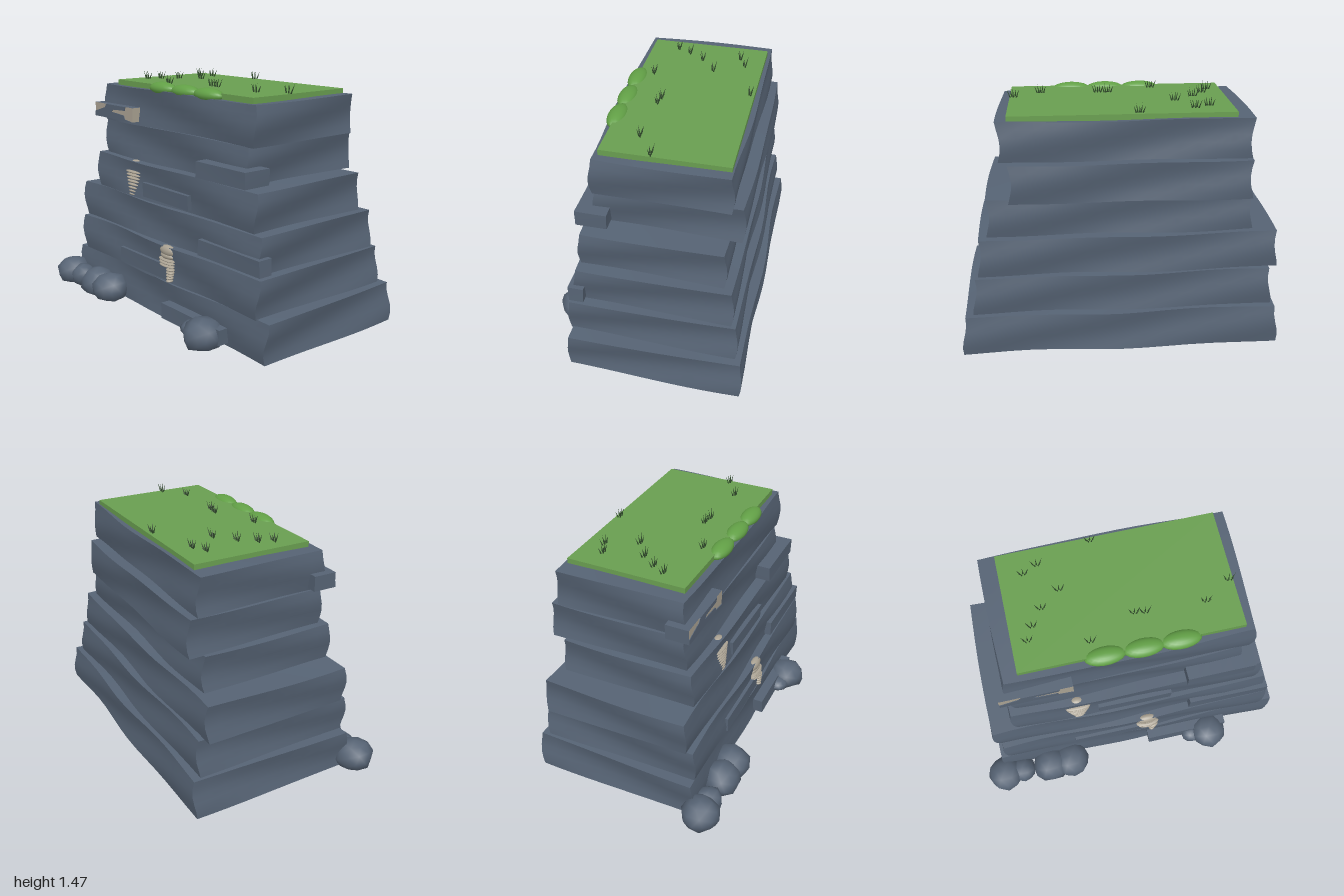
import * as THREE from 'three';
import { mergeGeometries, mergeVertices } from 'three/addons/utils/BufferGeometryUtils.js';

const material = (name, color, side = THREE.FrontSide) => {
  const m = new THREE.MeshStandardMaterial({ color, side });
  m.name = name;
  return m;
};

export function createModel() {
  const rock = material('slate rock', 0x566374);
  const turf = material('turf green', 0x699e50);
  const moss = material('moss green', 0x62a046);
  const blade = material('dark grass', 0x34502f);
  const bone = material('fossil bone', 0xa9a192);
  const root = new THREE.Group();
  root.name = 'layeredCliff';

  const add = (name, geometry, mat, parent = root) => {
    const mesh = new THREE.Mesh(geometry, mat);
    mesh.name = name;
    parent.add(mesh);
    return mesh;
  };

  // Box given by its limits, gently warped so each face stays smooth
  const slab = ([x0, x1], [y0, y1], [z0, z1], wave, seed, segs = [14, 5, 10]) => {
    const g = new THREE.BoxGeometry(x1 - x0, y1 - y0, z1 - z0, ...segs);
    g.translate((x0 + x1) / 2, (y0 + y1) / 2, (z0 + z1) / 2);
    const p = g.attributes.position;
    for (let i = 0; i < p.count; i++) {
      const x = p.getX(i), y = p.getY(i), z = p.getZ(i);
      const sx = (x - (x0 + x1) / 2) / (x1 - x0) * 2;
      const sz = (z - (z0 + z1) / 2) / (z1 - z0) * 2;
      p.setXYZ(i,
        x + sx * wave * (Math.sin(y * 19 + z * 3 + seed * 2.3) - 0.7),
        y + wave * 0.25 * Math.sin(x * 6 + z * 5 + seed),
        z + sz * wave * (Math.sin(y * 21 + x * 4 + seed * 1.7) * 0.7 + Math.sin(x * 7 + seed) * 0.3 - 0.6));
    }
    g.computeVertexNormals();
    return g;
  };

  // Stacked strata: x range, y range, z range
  const strata = [
    [[-0.88, 0.995], [0.02, 0.26], [-0.625, 0.422]],
    [[-0.84, 0.925], [0.258, 0.486], [-0.58, 0.422]],
    [[-0.875, 0.89], [0.484, 0.711], [-0.545, 0.385]],
    [[-0.73, 0.835], [0.709, 0.936], [-0.49, 0.365]],
    [[-0.705, 0.695], [0.934, 1.161], [-0.56, 0.305]],
    [[-0.71, 0.75], [1.159, 1.393], [-0.5, 0.303]],
  ];
  strata.forEach((s, i) => add('stratum' + (i + 1), slab(...s, 0.014, i + 1), rock));

  // Narrow ledges standing out of the front
  const ledges = [
    [[0.355, 0.77], [0.95, 1.045], [0.2, 0.39]],
    [[-0.195, 0.27], [0.73, 0.82], [0.25, 0.376]],
    [[0.395, 0.92], [0.5, 0.595], [0.32, 0.412]],
    [[-0.37, 0.12], [0.275, 0.37], [0.3, 0.432]],
    [[0.125, 0.67], [0.045, 0.14], [0.3, 0.478]],
  ];
  ledges.forEach((l, i) => add('ledge' + (i + 1), slab(...l, 0.003, i, [6, 2, 2]), rock));

  // Upper ledge with bone-coloured patches showing past a rock face plate
  const patchy = new THREE.Group();
  patchy.name = 'patchyLedge';
  root.add(patchy);
  const core = new THREE.BoxGeometry(0.43, 0.09, 0.14);
  core.translate(-0.54, 1.225, 0.276);
  add('patchyLedgeCore', core, [bone, rock, rock, rock, bone, rock], patchy);
  const face = new THREE.Shape([
    [-0.755, 1.18], [-0.325, 1.18], [-0.41, 1.19], [-0.42, 1.214], [-0.56, 1.224], [-0.54, 1.24],
    [-0.41, 1.245], [-0.4, 1.27], [-0.62, 1.27], [-0.64, 1.245], [-0.755, 1.212],
  ].map(([x, y]) => new THREE.Vector2(x, y)));
  const plate = new THREE.ExtrudeGeometry(face, { depth: 0.004, bevelEnabled: false });
  plate.translate(0, 0, 0.346);
  add('patchyLedgeFace', plate, rock, patchy);

  const ellipsoid = (x, y, z, rx, ry, rz) => {
    const g = new THREE.SphereGeometry(1, 18, 12);
    g.scale(rx, ry, rz);
    g.translate(x, y, z);
    return g;
  };

  // Upper fossil: stacked ribs narrowing downward, its skull almost buried
  const ribs = [];
  for (let i = 0; i < 8; i++) {
    ribs.push(ellipsoid(-0.318, 0.865 - i * 0.0205, 0.352, 0.078 - i * 0.0045, 0.009, 0.022));
  }
  add('upperFossilRibs', mergeGeometries(ribs), bone);
  add('upperFossilSkull', ellipsoid(-0.32, 0.915, 0.328, 0.045, 0.026, 0.03), bone);

  // Lower fossil: skull, jaw, ribs and a spine set to one side
  add('lowerFossilSkull', ellipsoid(0.115, 0.456, 0.408, 0.073, 0.035, 0.03), bone);
  add('lowerFossilJaw', ellipsoid(0.115, 0.425, 0.41, 0.065, 0.022, 0.028), bone);
  const lowerRibs = [0.403, 0.385, 0.367].map((y, i) =>
    ellipsoid(0.118, y, 0.42, 0.076 - i * 0.004, 0.009, 0.028));
  add('lowerFossilRibs', mergeGeometries(lowerRibs), bone);
  const spine = [];
  for (let i = 0; i < 5; i++) {
    spine.push(ellipsoid(0.157 - i * 0.002, 0.349 - i * 0.018, 0.425, 0.032 - i * 0.003, 0.009, 0.024));
  }
  add('lowerFossilSpine', mergeGeometries(spine), bone);

  // Boulders at the foot, flattened underneath: x, z, radius, height
  const boulders = [
    [-0.885, 0.48, 0.118, 0.185], [-0.765, 0.48, 0.085, 0.158],
    [-0.57, 0.48, 0.122, 0.185], [-0.425, 0.48, 0.122, 0.185],
    [0.55, 0.493, 0.122, 0.185], [0.435, 0.475, 0.075, 0.125],
  ];
  boulders.forEach(([x, z, r, top], n) => {
    let g = new THREE.IcosahedronGeometry(1, 1);
    g.deleteAttribute('uv');
    g.deleteAttribute('normal');
    g = mergeVertices(g, 1e-3);
    const p = g.attributes.position;
    for (let i = 0; i < p.count; i++) {
      const k = 1 + 0.06 * Math.sin(i * 2.7 + n * 1.9);
      const y = Math.max(0.012, 0.08 + p.getY(i) * k * (top - 0.08));
      p.setXYZ(i, x + p.getX(i) * r * k, y, z + p.getZ(i) * r * k);
    }
    g.computeVertexNormals();
    add('boulder' + (n + 1), g, rock);
  });

  // Turf cap and the moss hanging on its front rim
  const cap = new THREE.BoxGeometry(1.3, 0.037, 0.725);
  cap.translate(0.038, 1.4055, -0.107);
  add('turfCap', cap, turf);
  [-0.12, 0.1, 0.313].forEach((x, i) =>
    add('mossMound' + (i + 1), ellipsoid(x, 1.405, 0.254, 0.12, 0.041, 0.056), moss));

  // Grass tufts: x, z
  const tufts = [
    [-0.47, -0.32], [-0.385, -0.36], [-0.055, -0.445], [-0.29, -0.18], [-0.41, -0.09], [-0.48, 0.005],
    [-0.52, 0.085], [-0.18, 0.165], [0.095, 0.05], [0.155, 0.06], [0.505, 0.07], [0.665, -0.03],
  ];
  tufts.forEach(([x, z], n) => {
    const blades = [];
    for (let i = 0; i < 5; i++) {
      const g = new THREE.ConeGeometry(0.0055, 0.046 + 0.014 * ((i + n) % 2), 3);
      g.translate(0, 0.026, 0);
      g.rotateZ((2 - i) * 0.17);
      g.rotateX((i % 2 ? 1 : -1) * 0.2);
      g.translate(x + (i - 2) * 0.009, 1.424, z + (i % 2 ? 0.004 : -0.004));
      blades.push(g);
    }
    add('grassTuft' + (n + 1), mergeGeometries(blades), blade);
  });

  return root;
}
